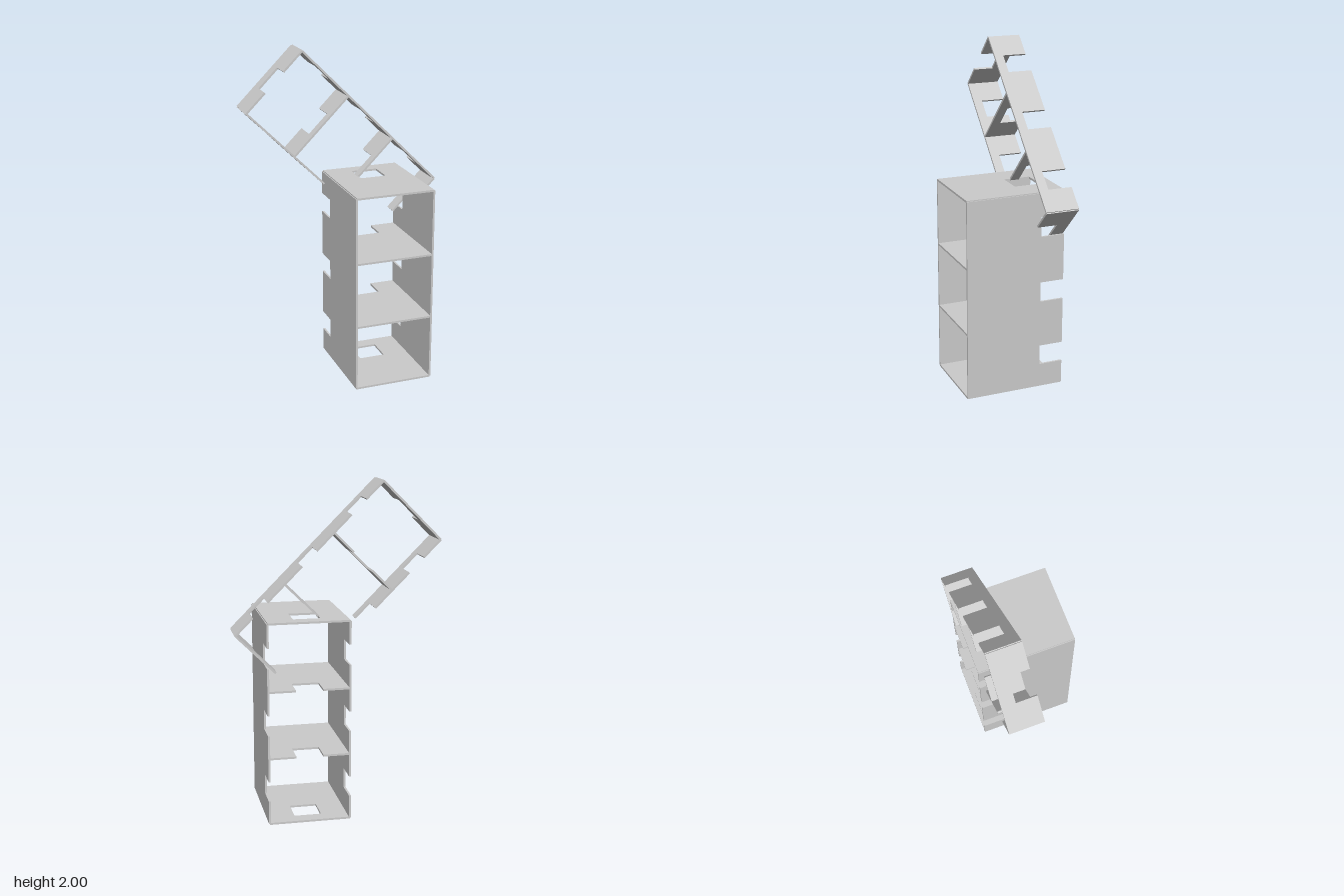
import * as THREE from 'three';

const T = 0.012;            // board thickness
const HALF = 0.24;          // half width, measured between board centrelines
const BAY = 0.4;            // height of one compartment
const BACK = -0.3;          // rear edge of all boards
const SLOT_FLOOR = -0.155;  // depth reached by the rear notches
const HOLE = [-0.22, -0.06];// z range of the openings in the end boards
const SLOT = [-0.08, 0.08]; // notch across the middle of a board

const material = new THREE.MeshStandardMaterial({ color: 0xcccccc });
const X = new THREE.Vector3(1, 0, 0);
const Y = new THREE.Vector3(0, 1, 0);
const Z = new THREE.Vector3(0, 0, 1);
const LEVEL = new THREE.Matrix4().makeBasis(X, Z, Y.clone().negate()); // shape (x, z)
const UPRIGHT = new THREE.Matrix4().makeBasis(Y, Z, X);                // shape (y, z)

// Board outline from a0 to a1 with notches cut in from one edge
function outline(a0, a1, plain, notched, floor, notches) {
  const pts = [[a0, plain], [a0, notched]];
  let open = true;
  for (const [s, e] of notches) {
    if (s >= a1) break;
    pts.push([s, notched], [s, floor], [Math.min(e, a1), floor]);
    if (e < a1) pts.push([e, notched]);
    else open = false;
  }
  if (open) pts.push([a1, notched]);
  pts.push([a1, plain]);
  return new THREE.Shape(pts.map(([a, b]) => new THREE.Vector2(a, b)));
}

function board(name, shape, orientation, x, y) {
  const geo = new THREE.ExtrudeGeometry(shape, { depth: T, bevelEnabled: false });
  geo.translate(0, 0, -T / 2).applyMatrix4(orientation);
  const mesh = new THREE.Mesh(geo, material);
  mesh.name = name;
  mesh.position.set(x, y, 0);
  return mesh;
}

// One notch in the middle of each compartment
const sideNotches = [0, 1, 2].map(i => [BAY * (i + 0.5) - 0.06, BAY * (i + 0.5) + 0.06]);

function sidePanel(name, x, length, front) {
  return board(name, outline(0, length, front, BACK, SLOT_FLOOR, sideNotches), UPRIGHT, x, 0);
}

function shelf(name, y, right, front) {
  return board(name, outline(-HALF, right, front, BACK, SLOT_FLOOR, [SLOT]), LEVEL, 0, y);
}

// End board with a square opening; on a shallow unit the opening breaks through the front
function endBoard(name, y, right, front) {
  let shape;
  if (front > HOLE[1]) {
    shape = outline(-HALF, right, front, BACK, BACK, []);
    const hole = new THREE.Path();
    hole.moveTo(SLOT[0], HOLE[0]);
    hole.lineTo(SLOT[1], HOLE[0]);
    hole.lineTo(SLOT[1], HOLE[1]);
    hole.lineTo(SLOT[0], HOLE[1]);
    hole.closePath();
    shape.holes.push(hole);
  } else {
    shape = outline(-HALF, right, BACK, front, HOLE[0], [SLOT]);
  }
  return board(name, shape, LEVEL, 0, y);
}

// Three-bay unit; the far side, second shelf and far end can be cut short
function shelfUnit(name, front, cut) {
  const unit = new THREE.Group();
  unit.name = name;
  const reach = cut ? SLOT[1] : HALF;
  unit.add(
    sidePanel('fullSide', -HALF, 3 * BAY, front),
    sidePanel(cut ? 'shortSide' : 'oppositeSide', HALF, cut ? sideNotches[1][1] : 3 * BAY, front),
    endBoard('baseBoard', 0, HALF, front),
    shelf('firstShelf', BAY, HALF, front),
    shelf('secondShelf', 2 * BAY, reach, front),
    endBoard('farEndBoard', 3 * BAY, reach, front)
  );
  return unit;
}

export function createModel() {
  const model = new THREE.Group();
  model.name = 'shelving';

  // Deep upright cabinet
  const cabinet = shelfUnit('uprightCabinet', 0.3, false);
  cabinet.position.set(0.173, T / 2, 0);

  // Shallow unit leaning diagonally through the rear of the cabinet
  const leaning = shelfUnit('leaningUnit', -0.1, true);
  leaning.rotation.z = -0.75 * Math.PI;
  leaning.position.set(-0.423, 1.826, 0);

  model.add(cabinet, leaning);
  return model;
}
